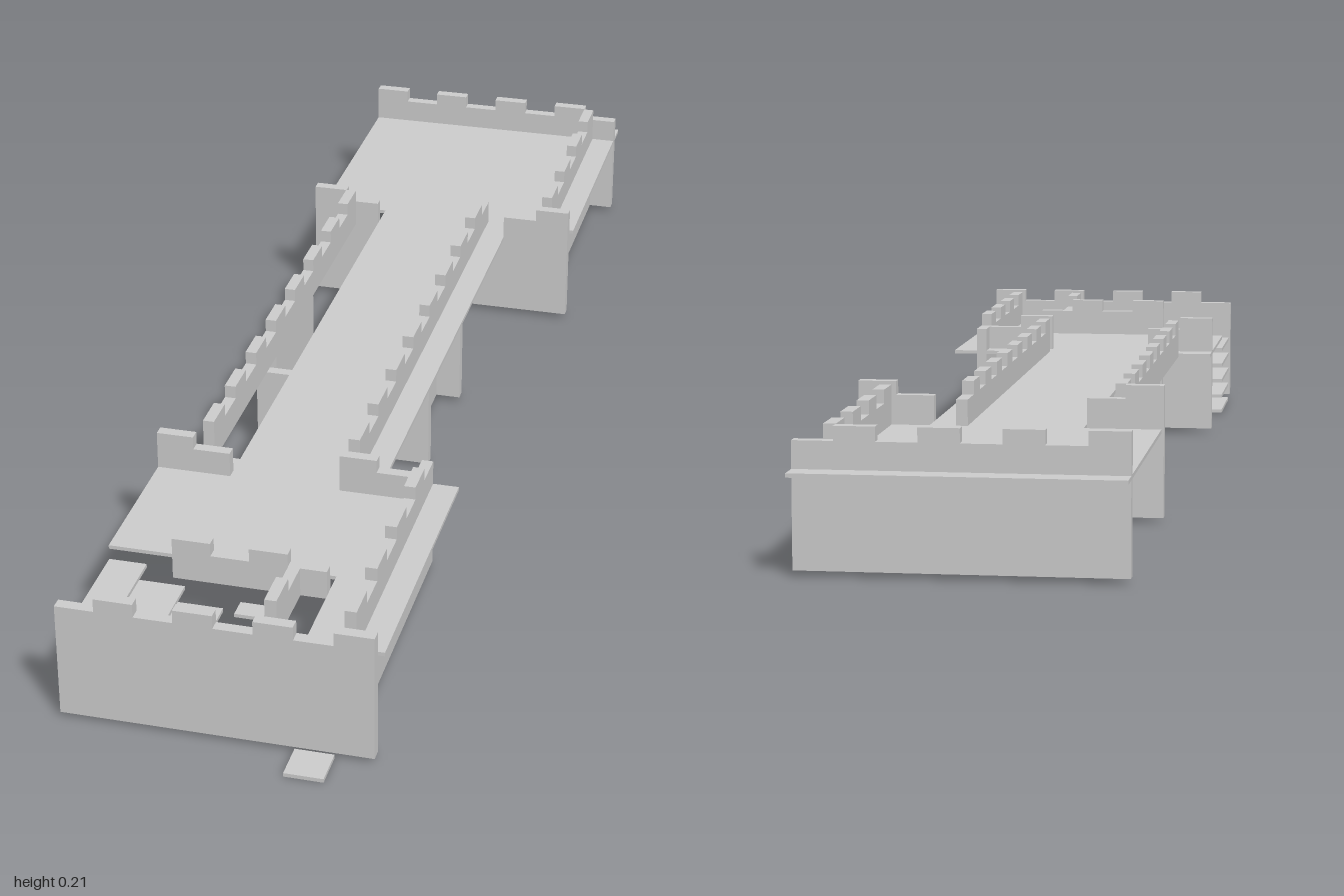
import * as THREE from 'three';

const stone = new THREE.MeshStandardMaterial({ color: 0xcccccc });
stone.name = 'stone';

const H = 0.05875;      // half a building tile: one merlon or one gap
const T = 0.018;        // wall thickness
const BASE = 0.008, DECK = 0.144, FLOOR = 0.15, SILL = 0.19, TOP = 0.211;

export function createModel() {
  const root = new THREE.Group();
  root.name = 'castleWalls';

  const add = (name, geometry) => {
    const mesh = new THREE.Mesh(geometry, stone);
    mesh.name = name;
    root.add(mesh);
  };

  const box = (name, x0, x1, y0, y1, z0, z1) =>
    add(name, new THREE.BoxGeometry(x1 - x0, y1 - y0, z1 - z0)
      .translate((x0 + x1) / 2, (y0 + y1) / 2, (z0 + z1) / 2));

  // Battlement outline: alternating merlons and gaps along its length
  const battlement = (length, y0, merlonFirst) => {
    const n = Math.round(length / H);
    const step = length / n;
    const shape = new THREE.Shape();
    shape.moveTo(0, y0);
    for (let i = 0; i < n; i++) {
      const y = (i % 2 === 0) === merlonFirst ? TOP : SILL;
      shape.lineTo(i * step, y);
      shape.lineTo((i + 1) * step, y);
    }
    shape.lineTo(length, y0);
    return new THREE.ExtrudeGeometry(shape, { depth: T, bevelEnabled: false });
  };
  const wallX = (name, x0, x1, z, y0, merlonFirst) =>
    add(name, battlement(x1 - x0, y0, merlonFirst).translate(x0, 0, z));
  const wallZ = (name, x, z0, z1, y0, merlonFirst = false) =>
    add(name, battlement(z1 - z0, y0, merlonFirst).rotateY(-Math.PI / 2).translate(x + T, 0, z0));

  // Walkway: two wide platforms joined by a narrow bridge, notched for the stair
  const outline = [
    [-0.235, -1], [0.235, -1], [0.235, -0.53], [0.1175, -0.53], [0.1175, 0.41],
    [0.235, 0.41], [0.235, 0.88], [0.1175, 0.88], [0.1175, 0.704], [-0.235, 0.704],
    [-0.235, 0.41], [-0.1175, 0.41], [-0.1175, -0.53], [-0.235, -0.53],
  ];
  const deck = new THREE.Shape(outline.map(([x, z]) => new THREE.Vector2(x, -z)));
  add('walkway', new THREE.ExtrudeGeometry(deck, { depth: FLOOR - DECK, bevelEnabled: false })
    .rotateX(-Math.PI / 2).translate(0, DECK, 0));

  // End walls
  wallX('frontWall', -0.235, 0.235, 0.921, BASE, false);
  wallX('backWall', -0.235, 0.235, -0.962, BASE, true);

  // Side walls of the platforms, then the bridge parapets
  wallZ('frontSideWall', 0.176, 0.41, 0.88, BASE);
  wallZ('backSideWall', 0.176, -0.9425, -0.53, BASE, true);
  wallZ('bridgeParapet', 0.059, -0.53, 0.41, DECK);
  wallZ('outerParapet', -0.177, -0.4725, 0.41, DECK, true);

  // Short battlements where the bridge meets the platforms
  wallX('backShoulder', -0.235, -0.1175, -0.49, DECK, true);
  wallX('backShoulder', 0.1175, 0.235, -0.49, DECK, false);
  wallX('frontShoulder', -0.235, -0.1175, 0.447, DECK, true);
  wallX('frontShoulder', 0.059, 0.1765, 0.447, DECK, true);

  // Parapets around the stair opening
  wallX('stairParapet', -0.1175, 0.1175, 0.739, DECK, true);
  wallZ('stairParapet', 0.059, 0.757, 0.88, DECK);
  box('stairCorner', 0.077, 0.1175, DECK, FLOOR, 0.862, 0.88);

  // Lower walls beneath the shoulders
  box('backLowerWall', 0, 0.235, BASE, DECK, -0.49, -0.472);
  box('backLowerWall', -0.235, -0.059, BASE, DECK, -0.49, -0.472);
  box('frontLowerWall', -0.235, -0.059, BASE, DECK, 0.447, 0.465);

  // Bridge piers
  box('pierPanel', 0.059, 0.077, BASE, DECK, -0.176, 0.059);
  box('pierPanel', -0.177, -0.159, BASE, DECK, -0.176, 0.059);
  for (const z of [-0.137, 0.097]) box('pierEnd', 0.055, 0.1175, BASE, DECK, z, z + T);
  box('pierEnd', -0.1175, -0.055, BASE, DECK, -0.137, -0.137 + T);
  box('pierEnd', -0.177, -0.1, BASE, DECK, 0.097, 0.097 + T);

  // Stair: stacked treads rising toward the side
  box('stairBase', -0.235, -H, 0.001, 0.007, 0.704, 0.88);
  for (let i = 0; i < 4; i++) {
    const y = 0.03 * (i + 1);
    box('tread', -0.235, -H * i, y, y + 0.006, 0.704, 0.88);
  }

  // Paving slabs on the ground
  for (const [x, z, w, d] of [
    [0.147, 0.97, 0.059, 0.06], [-0.03, 0.905, 0.046, 0.034],
    [-0.043, 0.61, 0.046, 0.034], [-0.13, -0.72, 0.04, 0.04],
  ]) box('pavingSlab', x - w / 2, x + w / 2, 0, 0.006, z - d / 2, z + d / 2);

  return root;
}
